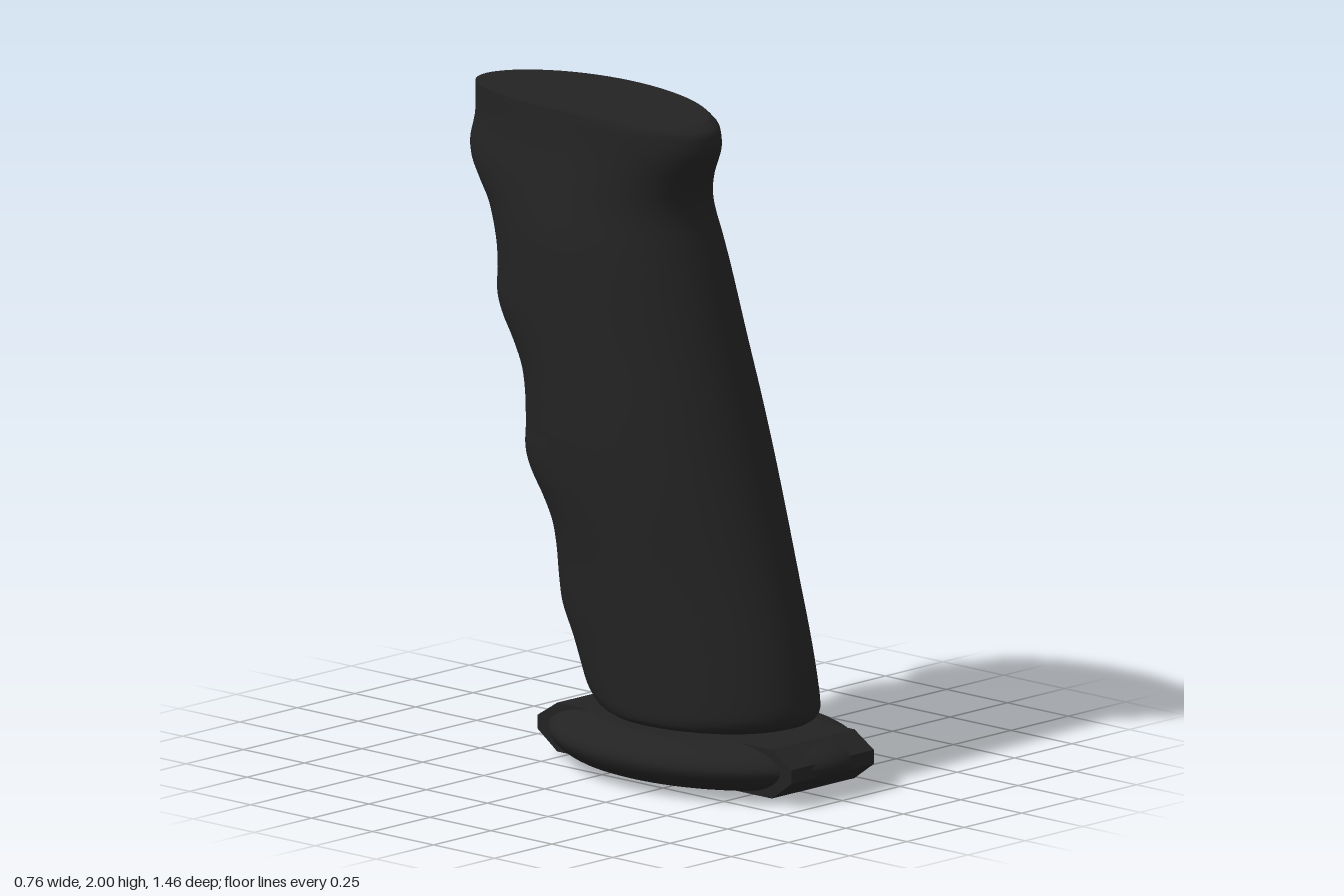
import * as THREE from 'three';

// Smooth interpolation through [height, value] pairs
function curveAt(points, y) {
  const n = points.length;
  const slope = (i) => {
    const a = points[Math.max(i - 1, 0)], b = points[Math.min(i + 1, n - 1)];
    return (b[1] - a[1]) / (b[0] - a[0]);
  };
  let i = 0;
  while (i < n - 2 && y > points[i + 1][0]) i++;
  const [y0, v0] = points[i], [y1, v1] = points[i + 1];
  const d = y1 - y0, t = (y - y0) / d, t2 = t * t, t3 = t2 * t;
  return v0 * (2 * t3 - 3 * t2 + 1) + v1 * (3 * t2 - 2 * t3)
    + d * slope(i) * (t3 - 2 * t2 + t) + d * slope(i + 1) * (t3 - t2);
}

// Grip outlines: palm side (+z), finger side (-z) and half width
const palm = [[0.17, 0.44], [0.18, 0.52], [0.2, 0.57], [0.23, 0.59], [0.3, 0.583], [0.42, 0.557],
  [0.6, 0.503], [1.0, 0.374], [1.5, 0.214], [1.6, 0.18], [1.68, 0.154], [1.74, 0.15], [1.8, 0.166],
  [1.86, 0.194], [1.91, 0.212], [1.96, 0.212], [1.985, 0.2], [2, 0.165]];
const fingers = [[0.17, -0.08], [0.18, -0.12], [0.2, -0.17], [0.24, -0.215], [0.3, -0.245], [0.38, -0.28],
  [0.47, -0.325], [0.55, -0.337], [0.65, -0.343], [0.73, -0.36], [0.8, -0.4], [0.87, -0.452], [0.93, -0.472],
  [1.0, -0.466], [1.1, -0.466], [1.18, -0.482], [1.25, -0.522], [1.32, -0.572], [1.38, -0.596], [1.46, -0.592],
  [1.55, -0.6], [1.65, -0.635], [1.72, -0.69], [1.77, -0.722], [1.82, -0.73], [1.9, -0.712], [2, -0.712]];
const width = [[0.17, 0.2], [0.18, 0.25], [0.2, 0.268], [0.25, 0.271], [0.4, 0.272], [0.6, 0.279], [0.9, 0.296],
  [1.1, 0.296], [1.3, 0.286], [1.6, 0.272], [1.75, 0.247], [1.88, 0.222], [2, 0.21]];
const SIDES = 64;

// One oval section; the top rows follow a gentle arch along z
function ring(y, scale = 1) {
  const c = 0.215 - 0.245 * y, w = curveAt(width, y) * scale;
  const f = (curveAt(palm, y) - c) * scale, b = (c - curveAt(fingers, y)) * scale;
  const arch = THREE.MathUtils.smoothstep(y, 1.8, 2) * 0.06;
  return Array.from({ length: SIDES }, (_, j) => {
    const a = (j / SIDES) * Math.PI * 2, k = Math.cos(a);
    const z = c + (k > 0 ? f : b) * k;
    return [w * Math.sin(a), y - arch * (z + 0.4) ** 2, z];
  });
}

// Skin a stack of sections
function loft(rings) {
  const index = [];
  for (let i = 0; i < rings.length - 1; i++) {
    for (let j = 0; j < SIDES; j++) {
      const k = (j + 1) % SIDES;
      const a = i * SIDES + j, b = i * SIDES + k, c = a + SIDES, d = b + SIDES;
      index.push(a, b, d, a, d, c);
    }
  }
  const g = new THREE.BufferGeometry();
  g.setAttribute('position', new THREE.Float32BufferAttribute(rings.flat(2), 3));
  g.setIndex(index);
  g.computeVertexNormals();
  return g;
}

export function createModel() {
  const model = new THREE.Group();
  model.name = 'pistolGrip';
  const black = new THREE.MeshStandardMaterial({ color: 0x232323 });
  black.name = 'matteBlack';

  const add = (name, geometry) => {
    const mesh = new THREE.Mesh(geometry, black);
    mesh.name = name;
    model.add(mesh);
    return mesh;
  };

  // Handle with finger grooves
  const heights = [0.17, 0.175, 0.18, 0.19, 0.2, 0.215, 0.23];
  for (let y = 0.25; y < 1.955; y += 0.02) heights.push(y);
  heights.push(1.965, 1.975, 1.985, 1.993, 2);
  add('handle', loft(heights.map((y) => ring(y))));

  // Closed ends of the handle
  add('handleTop', loft([1, 0.75, 0.5, 0.25, 0.001].map((s) => ring(2, s))));
  add('handleBottom', loft([0.001, 0.5, 1].map((s) => ring(0.17, s))));

  // Oval pommel plate with a rounded rim
  const rim = new THREE.SplineCurve([[0.72, 0.02], [0.86, 0.034], [0.96, 0.064], [1, 0.098], [0.96, 0.13],
    [0.86, 0.155], [0.72, 0.17]].map(([r, y]) => new THREE.Vector2(r, y))).getPoints(24);
  const profile = [new THREE.Vector2(0, 0.02), ...rim, new THREE.Vector2(0, 0.17)];
  const plate = add('pommelPlate', new THREE.LatheGeometry(profile, 72));
  plate.scale.set(0.38, 1, 0.538);
  plate.position.z = 0.19;

  // Bevelled bar running lengthwise through the plate
  const bar = new THREE.Shape([[0.63, 0.018], [0.71, 0.075], [0.71, 0.118], [0.63, 0.168],
    [-0.25, 0.168], [-0.33, 0.118], [-0.33, 0.075], [-0.25, 0.018]]
    .map(([z, y]) => new THREE.Vector2(-z, y)));
  const barGeometry = new THREE.ExtrudeGeometry(bar, { depth: 0.36, bevelEnabled: false });
  barGeometry.translate(0, 0, -0.18).rotateY(Math.PI / 2);
  add('pommelBar', barGeometry);

  // Small screw head underneath
  const screw = add('screwHead', new THREE.CylinderGeometry(0.055, 0.045, 0.025, 32));
  screw.position.set(0, 0.0125, 0.19);

  return model;
}
